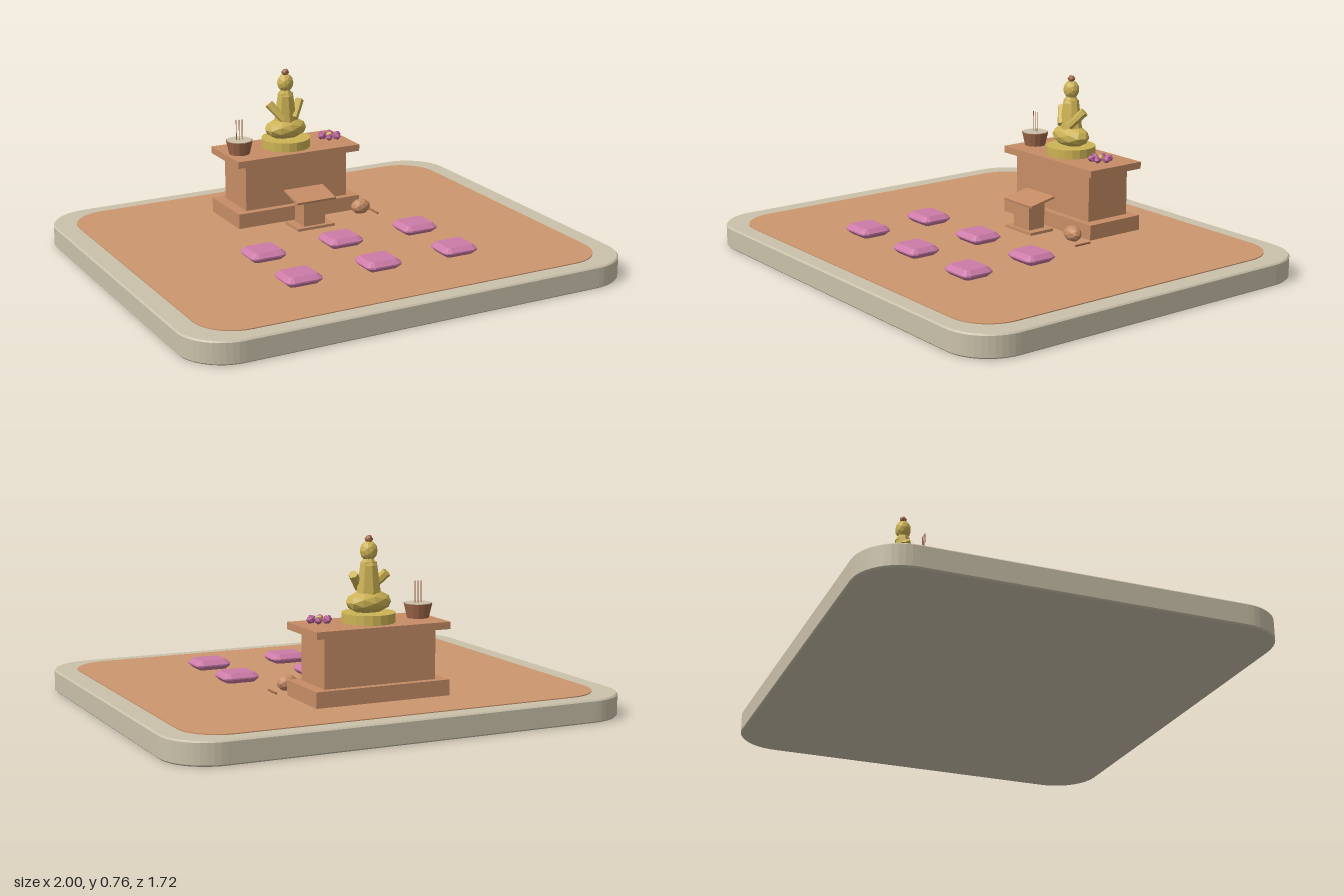
import * as THREE from 'three';

const material = (name, color) => {
  const m = new THREE.MeshStandardMaterial({ color, flatShading: true });
  m.name = name;
  return m;
};

// Rectangle outline with rounded corners
function roundedRect(w, d, r) {
  const x = w / 2, y = d / 2, s = new THREE.Shape();
  s.moveTo(x, y - r);
  s.absarc(x - r, y - r, r, 0, Math.PI / 2);
  s.absarc(-x + r, y - r, r, Math.PI / 2, Math.PI);
  s.absarc(-x + r, -y + r, r, Math.PI, Math.PI * 1.5);
  s.absarc(x - r, -y + r, r, Math.PI * 1.5, Math.PI * 2);
  s.closePath();
  return s;
}

// Flat slab with bevelled rims, standing on y = 0; w and d are full outer sizes
function slab(w, d, h, r, bevel, bevelH, segments) {
  const g = new THREE.ExtrudeGeometry(roundedRect(w - 2 * bevel, d - 2 * bevel, r), {
    depth: h - 2 * bevelH, bevelEnabled: bevel > 0, bevelSize: bevel,
    bevelThickness: bevelH, bevelSegments: 1, curveSegments: segments,
  });
  return g.rotateX(-Math.PI / 2).translate(0, bevelH, 0);
}

export function createModel() {
  const root = new THREE.Group();
  root.name = 'shrine';
  const stone = material('stone', 0xcac1aa);
  const mat = material('floorMat', 0xcc966d);
  const wood = material('wood', 0xc68d66);
  const gold = material('gold', 0xcdb355);
  const pink = material('pinkCloth', 0xcc7ba8);
  const petalPink = material('petal', 0xb35c95);
  const brown = material('brown', 0xa2694a);

  const add = (parent, name, geometry, mtl, x = 0, y = 0, z = 0) => {
    const m = new THREE.Mesh(geometry, mtl);
    m.name = name;
    m.position.set(x, y, z);
    parent.add(m);
    return m;
  };
  const group = (name, x, y, z) => {
    const g = new THREE.Group();
    g.name = name;
    g.position.set(x, y, z);
    root.add(g);
    return g;
  };
  const box = (w, h, d) => new THREE.BoxGeometry(w, h, d);
  const cyl = (rt, rb, h, n) => new THREE.CylinderGeometry(rt, rb, h, n);

  // Platform and floor mat
  add(root, 'platform', slab(2, 1.72, 0.096, 0.19, 0.006, 0.006, 6), stone);
  add(root, 'floorMat', slab(1.82, 1.57, 0.006, 0.17, 0, 0, 6), mat, 0, 0.094, 0);

  // Altar
  const altar = group('altar', 0, 0.1, -0.402);
  add(altar, 'altarStep', box(0.6, 0.066, 0.28), wood, 0, 0.033, 0);
  add(altar, 'altarBody', box(0.5, 0.21, 0.216), wood, 0, 0.17, 0);
  add(altar, 'altarTop', box(0.6, 0.03, 0.284), wood, 0, 0.29, -0.001);

  // Seated statue
  const statue = group('statue', 0, 0.405, -0.4);
  add(statue, 'pedestal', cyl(0.11, 0.11, 0.04, 20), gold, 0, 0.02, 0);
  add(statue, 'crossedLegs', new THREE.IcosahedronGeometry(1, 1), gold, 0, 0.083, 0).scale.set(0.1, 0.049, 0.066);
  add(statue, 'torso', cyl(0.032, 0.05, 0.14, 8), gold, 0, 0.175, 0).scale.set(1.15, 1, 0.92);
  add(statue, 'neck', cyl(0.02, 0.036, 0.03, 8), gold, 0, 0.247, 0);
  for (const side of [-1, 1]) {
    const elbow = new THREE.Vector3(side * 0.076, 0.2, -0.012);
    const hand = new THREE.Vector3(side * 0.026, 0.132, 0.034);
    const arm = add(statue, side > 0 ? 'leftArm' : 'rightArm', cyl(0.02, 0.017, elbow.distanceTo(hand), 6), gold);
    arm.position.copy(elbow).add(hand).multiplyScalar(0.5);
    arm.quaternion.setFromUnitVectors(new THREE.Vector3(0, 1, 0), elbow.clone().sub(hand).normalize());
  }
  add(statue, 'head', new THREE.IcosahedronGeometry(1, 1), gold, 0, 0.29, 0).scale.set(0.037, 0.042, 0.034);
  add(statue, 'topknot', new THREE.IcosahedronGeometry(0.018, 0), brown, 0, 0.337, 0);

  // Incense bowl with three sticks
  const bowl = group('incenseBowl', -0.235, 0.405, -0.387);
  add(bowl, 'bowl', cyl(0.06, 0.046, 0.06, 14), brown, 0, 0.03, 0);
  add(bowl, 'ash', cyl(0.056, 0.056, 0.004, 14), stone, 0, 0.06, 0);
  for (const x of [-0.014, 0, 0.014]) add(bowl, 'incenseStick', cyl(0.002, 0.002, 0.095, 5), brown, x, 0.105, 0);

  // Flower offering
  const flower = group('flower', 0.215, 0.428, -0.387);
  add(flower, 'flowerCentre', new THREE.IcosahedronGeometry(0.017, 0), gold, 0, 0.002, 0);
  for (let i = 0; i < 6; i++) {
    const a = i * Math.PI / 3;
    const p = add(flower, 'petal', new THREE.IcosahedronGeometry(1, 0), petalPink, Math.cos(a) * 0.036, 0, Math.sin(a) * 0.036);
    p.scale.set(0.022, 0.016, 0.015);
    p.rotation.y = -a;
  }

  // Lectern with a board sloping to the front
  const lectern = group('lectern', 0, 0.1, -0.167);
  add(lectern, 'lecternFoot', box(0.18, 0.012, 0.124), wood, 0, 0.006, 0);
  add(lectern, 'lecternPost', box(0.105, 0.125, 0.085), wood, 0, 0.0705, 0);
  add(lectern, 'lecternBoard', box(0.19, 0.01, 0.13), wood, 0, 0.14, 0).rotation.x = 0.2;

  // Wooden drum and mallet
  const drum = group('woodenDrum', 0.268, 0.1, -0.19);
  add(drum, 'drum', new THREE.IcosahedronGeometry(1, 1), wood, 0, 0.038, 0).scale.set(0.046, 0.035, 0.034);
  add(drum, 'mallet', cyl(0.005, 0.005, 0.08, 6), brown, 0.067, 0.006, 0).rotation.x = Math.PI / 2;

  // Floor cushions in two rows
  const cushion = slab(0.163, 0.146, 0.042, 0.012, 0.02, 0.018, 1);
  for (const z of [0.113, 0.433])
    for (const x of [-0.367, 0, 0.367]) add(root, 'cushion', cushion, pink, x, 0.1, z);

  return root;
}
